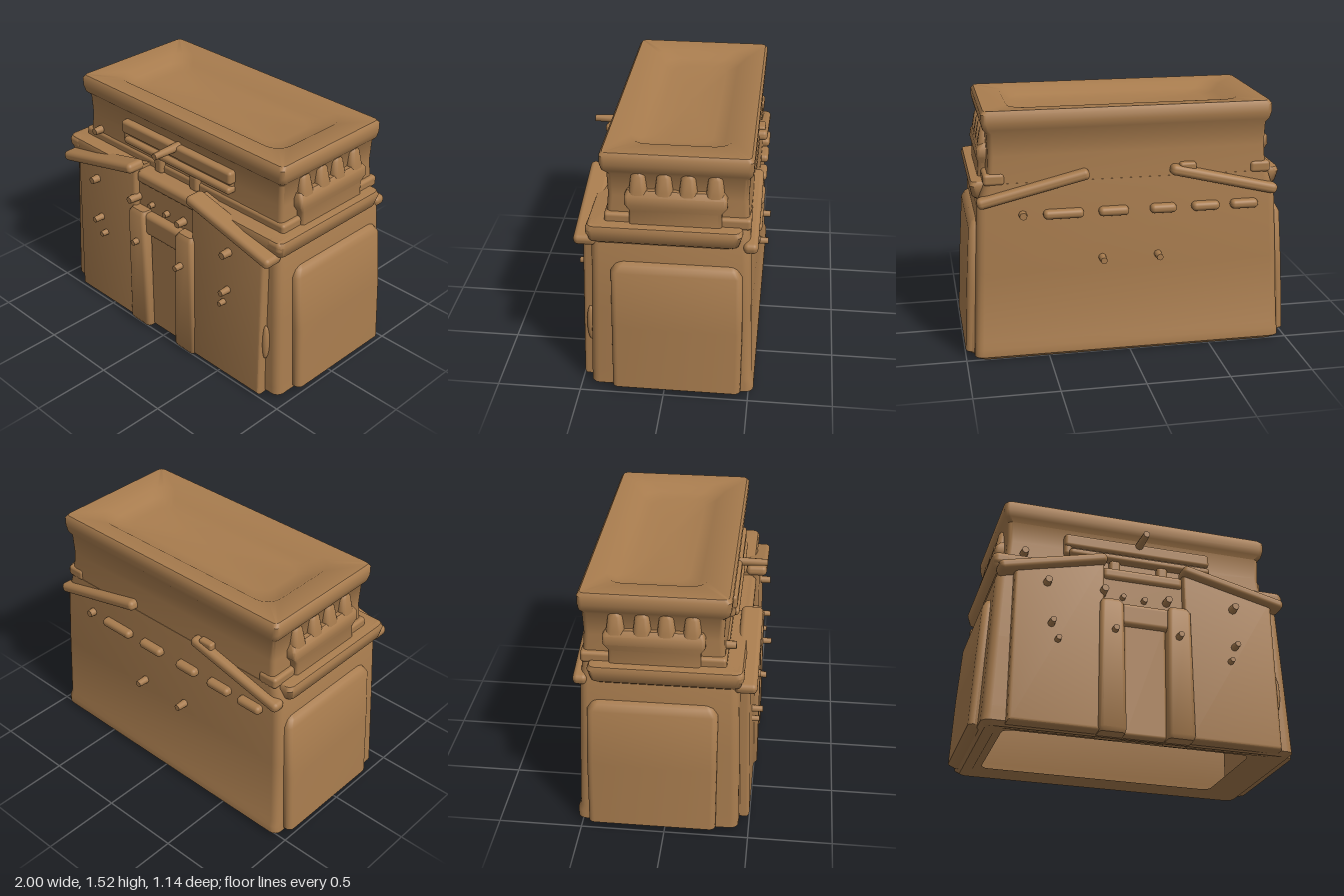
import * as THREE from 'three';
import { toCreasedNormals } from 'three/addons/utils/BufferGeometryUtils.js';
import { RoundedBoxGeometry } from 'three/addons/geometries/RoundedBoxGeometry.js';

// Double-sided because the lower storey is an open shell underneath
const clay = new THREE.MeshStandardMaterial({ color: 0xa87c4e, side: THREE.DoubleSide });
clay.name = 'clay brown';

// Stacks rounded rectangles; each level is [y, x0, x1, z0, z1, optional corner radius]
function loft(levels, radius, closedBottom = false) {
  const K = 4, pos = [], index = [];
  const corners = [[1, 1], [-1, 1], [-1, -1], [1, -1]];
  for (const [y, x0, x1, z0, z1, corner = radius] of levels) {
    const r = Math.min(corner, (x1 - x0) / 2.1, (z1 - z0) / 2.1);
    corners.forEach(([sx, sz], c) => {
      const cx = sx > 0 ? x1 - r : x0 + r, cz = sz > 0 ? z1 - r : z0 + r;
      for (let k = 0; k <= K; k++) {
        const a = (c + k / K) * Math.PI / 2;
        pos.push(cx + r * Math.cos(a), y, cz + r * Math.sin(a));
      }
    });
  }
  const n = 4 * (K + 1);
  for (let i = 0; i < levels.length - 1; i++) {
    for (let j = 0; j < n; j++) {
      const a = i * n + j, b = i * n + (j + 1) % n;
      index.push(a, a + n, b, b, a + n, b + n);
    }
  }
  const cap = (level, top) => {
    const [y, x0, x1, z0, z1] = levels[level];
    const centre = pos.length / 3;
    pos.push((x0 + x1) / 2, y, (z0 + z1) / 2);
    for (let j = 0; j < n; j++) {
      const a = level * n + j, b = level * n + (j + 1) % n;
      index.push(centre, top ? b : a, top ? a : b);
    }
  };
  cap(levels.length - 1, true);
  if (closedBottom) cap(0, false);
  const g = new THREE.BufferGeometry();
  g.setAttribute('position', new THREE.Float32BufferAttribute(pos, 3));
  g.setIndex(index);
  return toCreasedNormals(g, 0.8);
}

export function createModel() {
  const model = new THREE.Group();
  model.name = 'adobeBuilding';
  const add = (name, geometry, x = 0, y = 0, z = 0) => {
    const mesh = new THREE.Mesh(geometry, clay);
    mesh.name = name;
    mesh.position.set(x, y, z);
    model.add(mesh);
    return mesh;
  };
  // Rounded block given by its limits
  const block = (name, x0, x1, y0, y1, z0, z1, r = 0.02) =>
    add(name, new RoundedBoxGeometry(x1 - x0, y1 - y0, z1 - z0, 3, r),
      (x0 + x1) / 2, (y0 + y1) / 2, (z0 + z1) / 2);

  // Hollow lower storey, open underneath inside a broad rim
  add('lowerStorey', loft([
    [0.03, -0.8, 0.72, -0.4, 0.29], [0.0, -0.92, 0.92, -0.5, 0.41],
    [0.025, -0.95, 0.95, -0.53, 0.44], [0.075, -0.947, 0.947, -0.53, 0.44],
    [0.11, -0.945, 0.945, -0.515, 0.44], [0.55, -0.925, 0.925, -0.503, 0.43],
    [0.95, -0.905, 0.905, -0.488, 0.42], [1.09, -0.86, 0.86, -0.478, 0.41],
  ], 0.05));

  // Ledge around the first roof
  add('ledge', loft([
    [0.98, -0.9, 0.9, -0.4, 0.41], [1.0, -0.925, 0.925, -0.42, 0.43],
    [1.07, -0.94, 0.94, -0.44, 0.445], [1.095, -0.93, 0.93, -0.43, 0.435],
    [1.1, -0.9, 0.9, -0.42, 0.41],
  ], 0.04));

  // Upper storey with a rolled parapet and a roof sunken inside a wide flat border
  add('upperStorey', loft([
    [1.0, -0.84, 0.84, -0.478, 0.34], [1.12, -0.84, 0.84, -0.475, 0.335],
    [1.25, -0.83, 0.83, -0.465, 0.325], [1.385, -0.835, 0.835, -0.47, 0.33],
    [1.41, -0.855, 0.855, -0.485, 0.355], [1.45, -0.865, 0.865, -0.49, 0.365],
    [1.5, -0.865, 0.865, -0.49, 0.365], [1.52, -0.85, 0.85, -0.475, 0.35],
    [1.512, -0.7, 0.7, -0.36, 0.22, 0.1], [1.475, -0.65, 0.65, -0.31, 0.17, 0.1],
    [1.46, -0.56, 0.56, -0.24, 0.1, 0.1],
  ], 0.03));
  block('frontFooting', -0.865, 0.865, 1.08, 1.15, 0.2, 0.345);

  for (const s of [-1, 1]) {
    const span = (a, b) => (s > 0 ? [a, b] : [-b, -a]);
    block('endFooting', ...span(0.74, 0.865), 1.08, 1.15, -0.485, 0.3);

    // Sloping buttress on each end
    add('endButtress', loft([
      [0.015, ...span(0.85, 0.97), -0.43, 0.28], [0.04, ...span(0.85, 1.0), -0.455, 0.305],
      [0.45, ...span(0.85, 0.98), -0.455, 0.305], [0.81, ...span(0.85, 0.955), -0.445, 0.305],
      [0.85, ...span(0.85, 0.935), -0.42, 0.28], [0.87, ...span(0.85, 0.905), -0.4, 0.25],
    ], 0.035, true));

    // Stepped crest of four teeth on each end
    add('endCrest', loft([
      [1.08, ...span(0.8, 0.885), -0.32, 0.2], [1.18, ...span(0.8, 0.88), -0.32, 0.2],
      [1.22, ...span(0.8, 0.89), -0.35, 0.225], [1.27, ...span(0.8, 0.885), -0.35, 0.225],
      [1.3, ...span(0.8, 0.86), -0.33, 0.21],
    ], 0.02, true));
    for (const z of [0.15, 0.005, -0.13, -0.28]) {
      add('crestTooth', loft([
        [1.24, ...span(0.8, 0.885), z - 0.055, z + 0.055], [1.3, ...span(0.8, 0.875), z - 0.05, z + 0.05],
        [1.38, ...span(0.8, 0.86), z - 0.04, z + 0.04], [1.4, ...span(0.8, 0.85), z - 0.025, z + 0.025],
      ], 0.03));
    }

    // Thick front wall panel with a sloping top
    const edge = s > 0 ? 0.825 : 0.795;
    const outline = new THREE.Shape([[0.28, 0.03], [edge, 0.03], [edge - 0.01, 0.98], [0.27, 1.1]]
      .map(([x, y]) => new THREE.Vector2(s * x, y)));
    const panel = new THREE.ExtrudeGeometry(outline, {
      depth: 0.12, bevelThickness: 0.02, bevelSize: 0.02, bevelSegments: 3,
    });
    const p = panel.attributes.position;
    for (let i = 0; i < p.count; i++) p.setZ(i, p.getZ(i) - 0.025 * p.getY(i));
    add('frontPanel', toCreasedNormals(panel, 0.6), 0, 0, 0.36);

    // Sloping beams on the front and the back
    for (const [z, d] of [[0.455, 0.13], [-0.485, 0.085]]) {
      const beam = add('slopingBeam', new RoundedBoxGeometry(0.68, 0.065, d, 3, 0.028), s * 0.575, 1.055, z);
      beam.rotation.z = -s * 0.235;
    }
    block('beamEnd', ...span(0.82, 0.93), 1.02, 1.1, 0.3, 0.445, 0.03);

    // Door pillar
    add('doorPillar', loft([
      [0.005, ...span(0.13, 0.285), 0.36, 0.505], [0.03, ...span(0.125, 0.295), 0.35, 0.52],
      [0.83, ...span(0.14, 0.285), 0.35, 0.515], [0.86, ...span(0.155, 0.27), 0.36, 0.495],
    ], 0.025, true));

    // Brackets below the sign board
    block('signBracket', ...span(0.12, 0.19), 1.09, 1.2, 0.3, 0.37);
  }

  // Doorway
  block('doorLintel', -0.17, 0.17, 0.7, 0.85, 0.36, 0.49, 0.03);
  block('door', -0.135, 0.135, 0.005, 0.72, 0.36, 0.465);
  block('wallOverDoor', -0.28, 0.28, 0.8, 1.08, 0.3, 0.435);
  block('doorwayBeam', -0.26, 0.26, 1.02, 1.1, 0.34, 0.455, 0.03);

  // Two-plank board over the doorway
  block('upperPlank', -0.48, 0.47, 1.255, 1.34, 0.3, 0.375);
  block('lowerPlank', -0.45, 0.47, 1.195, 1.24, 0.3, 0.385);
  block('plankBacking', -0.46, 0.46, 1.2, 1.3, 0.29, 0.35);
  block('plankEnd', -0.48, -0.43, 1.2, 1.33, 0.3, 0.365);

  // Projecting roof poles, tapering outwards: [x, y, tip z, length, radius]
  const pole = (x, y, tip, length, r) => {
    const back = tip < 0 ? -1 : 1;
    const g = new THREE.CylinderGeometry(r * 0.75, r, length, 8);
    g.rotateX(back * Math.PI / 2);
    add('pole', toCreasedNormals(g, 1), x, y, tip - back * length / 2);
  };
  [
    [-0.61, 0.915, 0.53, 0.12, 0.03], [0.57, 0.905, 0.54, 0.12, 0.03],
    [-0.26, 0.915, 0.52, 0.12, 0.03], [-0.13, 0.905, 0.47, 0.1, 0.022],
    [0.005, 0.9, 0.47, 0.1, 0.024], [0.15, 0.91, 0.5, 0.12, 0.03],
    [-0.58, 0.645, 0.55, 0.12, 0.025], [0.57, 0.645, 0.55, 0.12, 0.025],
    [-0.2, 0.645, 0.555, 0.12, 0.025], [0.2, 0.65, 0.57, 0.12, 0.025],
    [-0.54, 0.545, 0.53, 0.1, 0.023], [0.54, 0.545, 0.53, 0.1, 0.022],
    [-0.73, 1.17, 0.39, 0.12, 0.03], [0, 1.325, 0.53, 0.2, 0.028],
    [-0.17, 0.61, -0.57, 0.12, 0.027], [0.17, 0.61, -0.57, 0.12, 0.027],
    [0.64, 0.9, -0.53, 0.1, 0.03],
  ].forEach((a) => pole(...a));

  // Row of short logs along the back
  for (const [x, w] of [[0.4, 0.24], [0.1, 0.18], [-0.2, 0.16], [-0.46, 0.17], [-0.7, 0.17]]) {
    block('backLog', x - w / 2, x + w / 2, 0.87, 0.925, -0.535, -0.46, 0.025);
  }
  block('backStub', -0.4, -0.3, 1.12, 1.17, -0.51, -0.44, 0.015);

  // Plaster lump at the front corner
  const lump = add('plasterLump', new THREE.SphereGeometry(1, 16, 10), 0.845, 0.385, 0.445);
  lump.scale.set(0.025, 0.12, 0.025);

  return model;
}
